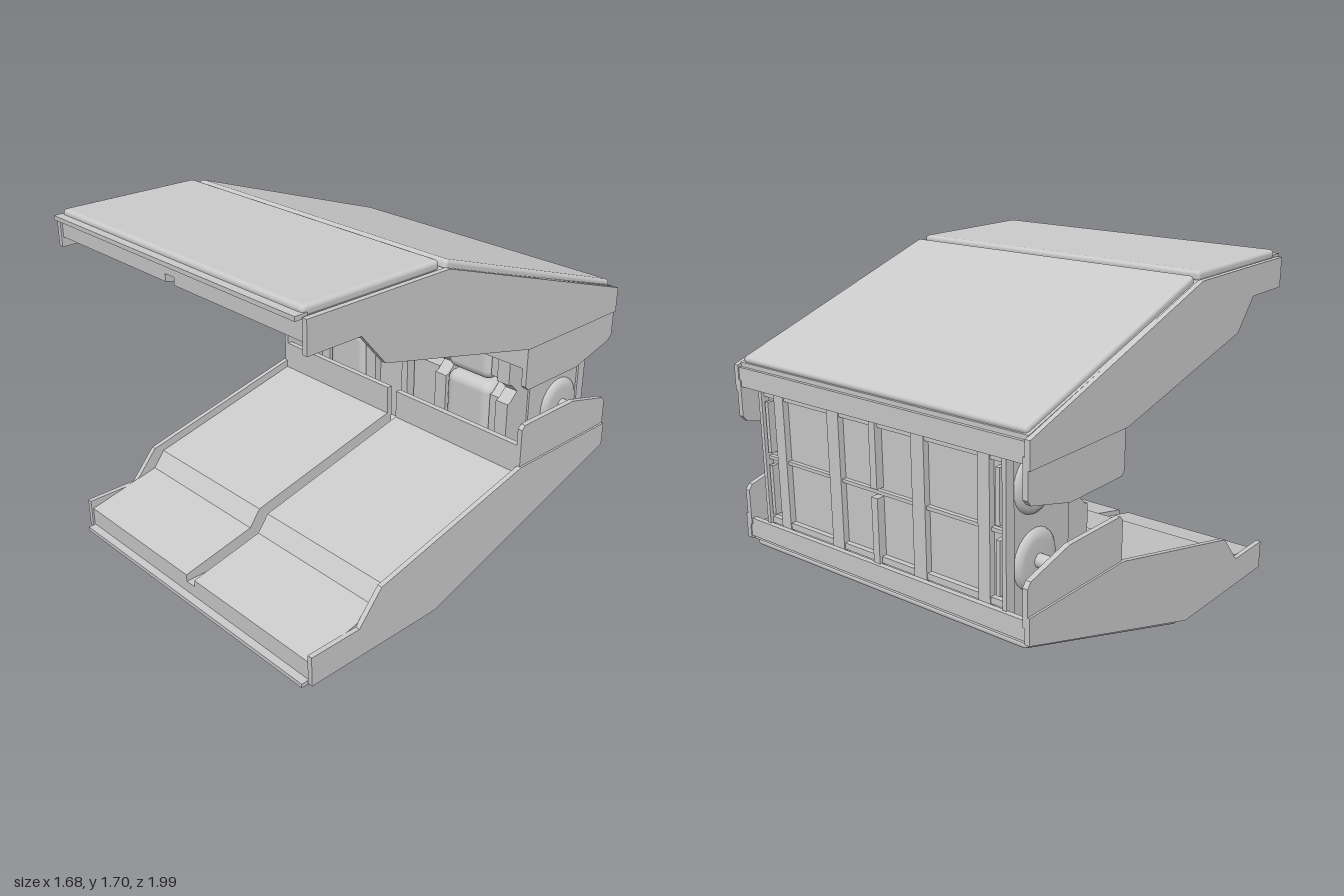
import * as THREE from 'three';
import { RoundedBoxGeometry } from 'three/addons/geometries/RoundedBoxGeometry.js';

const MID = 0.85; // height of the plane between the two jaws
const mat = new THREE.MeshStandardMaterial({ color: 0xcccccc });

function add(parent, name, geometry) {
  const mesh = new THREE.Mesh(geometry, mat);
  mesh.name = name;
  parent.add(mesh);
  return mesh;
}

// Side profile given as [z, y] points, extruded from x0 to x1
function profile(parent, name, pts, x0, x1) {
  const shape = new THREE.Shape(pts.map(([z, y]) => new THREE.Vector2(z, y)));
  const g = new THREE.ExtrudeGeometry(shape, { depth: x1 - x0, bevelEnabled: false });
  g.rotateY(-Math.PI / 2).translate(x1, 0, 0);
  return add(parent, name, g);
}

function box(parent, name, x0, x1, y0, y1, z0, z1) {
  const g = new THREE.BoxGeometry(x1 - x0, y1 - y0, z1 - z0);
  g.translate((x0 + x1) / 2, (y0 + y1) / 2, (z0 + z1) / 2);
  return add(parent, name, g);
}

// The same part on both sides of x = 0
function pair(make) {
  make((a, b) => [a, b]);
  make((a, b) => [-b, -a]);
}

const SIDE = [[0.97, 0.035], [0.97, 0.18], [0.70, 0.18], [0.57, 0.33], [-0.34, 0.55],
  [-0.99, 0.55], [-0.99, 0.43], [0.22, 0.035]];
const EAR = [[-0.34, 0.5], [-0.34, 0.74], [-0.36, 0.76], [-0.72, 0.76], [-0.97, 0.695],
  [-0.99, 0.67], [-0.99, 0.5]];
const PAD = [[0.96, 0.04], [0.96, 0.135], [0.58, 0.22], [0.52, 0.30], [-0.34, 0.51],
  [-0.34, 0.655], [-0.37, 0.655], [-0.37, 0.28], [-0.97, 0.46], [-0.97, 0.42], [0.22, 0.04]];
const CHANNEL = [[0.96, 0.04], [0.96, 0.10], [0.22, 0.10], [-0.97, 0.46], [-0.97, 0.42], [0.22, 0.04]];
const CHEEK = [[-0.40, 0.45], [-0.40, 0.80], [-0.42, 0.805], [-0.465, MID], [-0.93, MID], [-0.93, 0.45]];

function createJaw() {
  const jaw = new THREE.Group();

  // Outer skin: a flat front panel and a sloped rear panel
  add(jaw, 'frontSkin', new RoundedBoxGeometry(1.61, 0.05, 0.72, 2, 0.02)).position.set(0, 0.025, 0.6);
  const slope = 0.318;
  const rear = add(jaw, 'rearSkin', new RoundedBoxGeometry(1.61, 0.05, 1.235, 2, 0.018));
  rear.rotation.x = slope;
  rear.position.set(0, 0.2025 + 0.025 * Math.cos(slope), -0.385 + 0.025 * Math.sin(slope));
  box(jaw, 'frontLip', -0.81, 0.81, 0.025, 0.045, 0.94, 1.0);
  box(jaw, 'rearSill', -0.82, 0.82, 0.44, 0.53, -0.985, -0.96);
  profile(jaw, 'channelFloor', CHANNEL, -0.03, 0.03);

  pair((s) => {
    profile(jaw, 'sidePlate', SIDE, ...s(0.815, 0.84));
    profile(jaw, 'axleBracket', EAR, ...s(0.805, 0.83));
    profile(jaw, 'grippingPad', PAD, ...s(0.03, 0.818));
  });

  // Central block between the jaws
  box(jaw, 'coreBody', -0.7, 0.7, 0.42, MID, -0.93, -0.55);
  box(jaw, 'coreRib', -0.02, 0.02, 0.4, MID, -0.9, -0.43);
  pair((s) => {
    profile(jaw, 'coreCheek', CHEEK, ...s(0.62, 0.69));
    profile(jaw, 'coreFlange', CHEEK.map(([z, y]) => [z - 0.03, y]), ...s(0.56, 0.62));
    profile(jaw, 'coreFlange', CHEEK.map(([z, y]) => [z - 0.03, y]), ...s(0.21, 0.28));
    box(jaw, 'innerPanel', ...s(0.03, 0.21), 0.42, 0.815, -0.6, -0.47);
    const [b0, b1] = s(0.28, 0.56);
    const block = add(jaw, 'roundedBlock', new RoundedBoxGeometry(b1 - b0, 0.4, 0.22, 4, 0.05));
    block.position.set((b0 + b1) / 2, 0.642, -0.53);
  });

  // Rear frame with raised strips
  box(jaw, 'rearCenterStrip', -0.018, 0.018, 0.45, MID - 0.02, -0.97, -0.92);
  box(jaw, 'rearMiddleRail', -0.7, 0.7, MID - 0.008, MID, -0.95, -0.92);
  box(jaw, 'rearCrossRail', -0.7, 0.7, 0.53, 0.56, -0.955, -0.92);
  pair((s) => {
    box(jaw, 'rearSideRail', ...s(0.69, 0.71), 0.45, MID, -0.97, -0.92);
    box(jaw, 'rearSideStrip', ...s(0.655, 0.675), 0.58, MID - 0.03, -0.965, -0.92);
  });

  // Rounded wheels on short axles
  const wheelProfile = [[0, -0.03], [0.11, -0.03], [0.125, -0.02], [0.135, 0], [0.13, 0.012],
    [0.115, 0.025], [0.09, 0.03], [0, 0.03]].map(([r, h]) => new THREE.Vector2(r, h));
  for (const side of [1, -1]) {
    const wheel = add(jaw, 'wheel', new THREE.LatheGeometry(wheelProfile, 40));
    wheel.rotation.z = -side * Math.PI / 2;
    wheel.position.set(side * 0.695, 0.685, -0.78);
    const axle = add(jaw, 'axle', new THREE.CylinderGeometry(0.03, 0.03, 0.12, 24));
    axle.rotation.z = Math.PI / 2;
    axle.position.set(side * 0.765, 0.685, -0.78);
  }
  jaw.position.y = -MID;
  return jaw;
}

export function createModel() {
  const model = new THREE.Group();
  model.name = 'hingedJaws';
  // The upper jaw is the lower one turned over about the middle plane
  for (const [name, turn] of [['lowerJaw', 0], ['upperJaw', Math.PI]]) {
    const half = new THREE.Group();
    half.name = name;
    half.add(createJaw());
    half.position.y = MID;
    half.rotation.z = turn;
    model.add(half);
  }
  return model;
}
